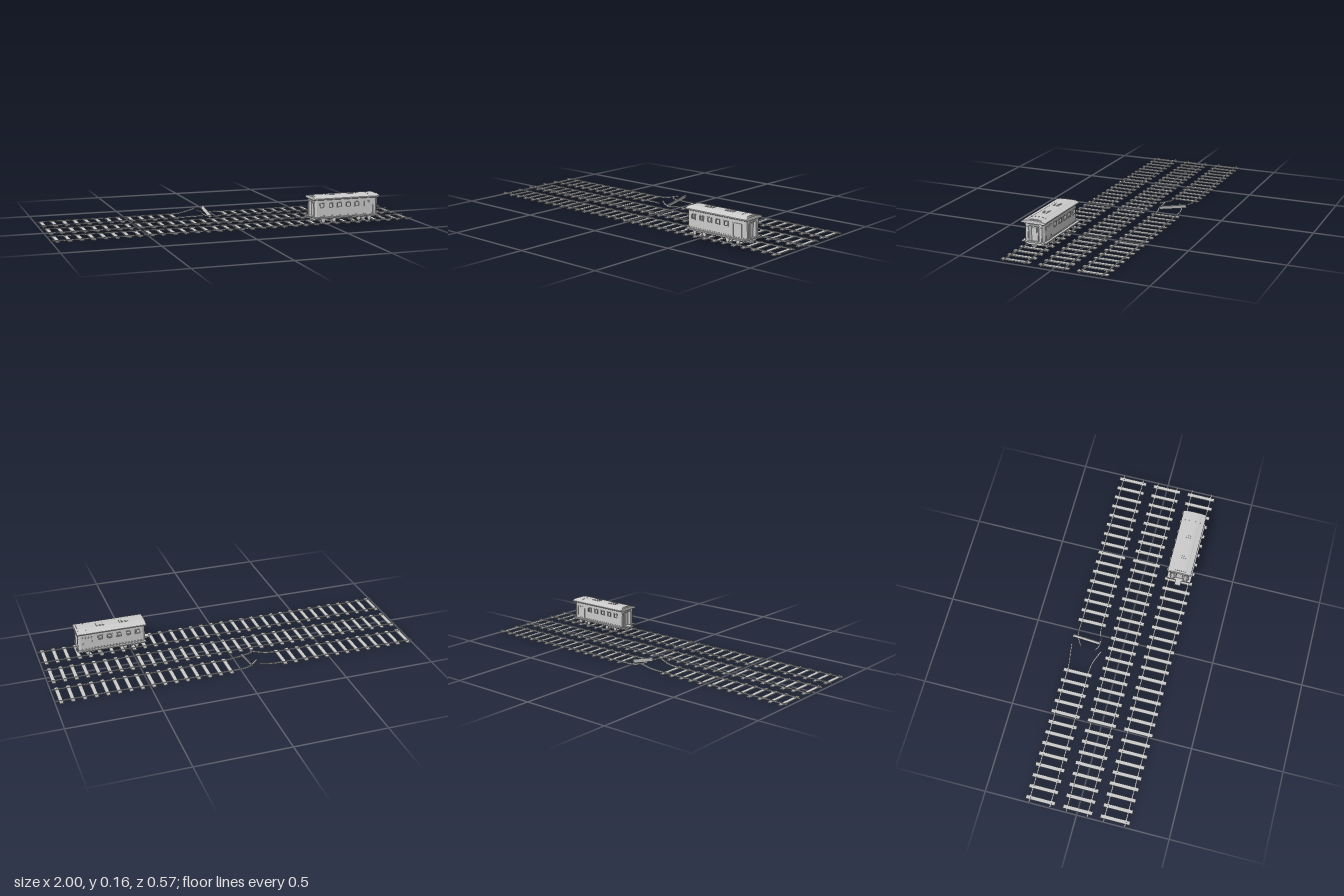
import * as THREE from 'three';

const mat = new THREE.MeshStandardMaterial({ color: 0xcccccc, flatShading: true, side: THREE.DoubleSide });

function add(parent, name, geometry, x = 0, y = 0, z = 0) {
  const mesh = new THREE.Mesh(geometry, mat);
  mesh.name = name;
  mesh.position.set(x, y, z);
  parent.add(mesh);
  return mesh;
}
const box = (w, h, d) => new THREE.BoxGeometry(w, h, d);
const polygon = (points) => new THREE.Shape(points.map(([a, b]) => new THREE.Vector2(a, b)));
const extrude = (shape, depth) => new THREE.ExtrudeGeometry(shape, { depth, bevelEnabled: false });

// symmetric [z, y] half profile, mirrored and drawn out along x
function alongX(half, length) {
  const other = half.map(([z, y]) => [-z, y]).reverse();
  return extrude(polygon([...half, ...other]), length).rotateY(Math.PI / 2).translate(-length / 2, 0, 0);
}

const GAUGE = 0.057, SLEEPERS = 33, STEP = 0.0607, TRACK_Z = 0.203;

function rail(parent, x0, x1, z) {
  add(parent, 'rail', box(x1 - x0, 0.005, 0.006), (x0 + x1) / 2, 0.0125, z);
  add(parent, 'railFoot', box(x1 - x0, 0.002, 0.008), (x0 + x1) / 2, 0.0105, z);
}

function makeTrack(name, z, broken) {
  const track = new THREE.Group();
  track.name = name;
  track.position.z = z;
  for (let i = 0; i < SLEEPERS; i++) {
    if (broken && i > 12 && i < 17) continue;
    add(track, 'sleeper', box(0.021, 0.0055, 0.16), -0.973 + i * STEP, 0.0085, 0);
  }
  for (const s of [-1, 1]) {
    if (broken) {
      rail(track, -1, -0.235, s * GAUGE);
      rail(track, 0.05, 1, s * GAUGE);
    } else rail(track, -1, 1, s * GAUGE);
  }
  return track;
}

// rail end bent away from its line
function bentRail(parent, points) {
  const path = new THREE.CatmullRomCurve3(points.map((p) => new THREE.Vector3(...p)));
  const a = 0.0034;
  const section = polygon([[-a, -a], [a, -a], [a, a], [-a, a]]);
  add(parent, 'bentRail', new THREE.ExtrudeGeometry(section, { steps: 14, extrudePath: path, bevelEnabled: false }));
}

function makeDamage() {
  const damage = new THREE.Group();
  damage.name = 'damagedSection';
  const near = -TRACK_Z + GAUGE, far = -TRACK_Z - GAUGE;
  bentRail(damage, [[-0.235, 0.0125, far], [-0.19, 0.015, far - 0.004], [-0.14, 0.024, far - 0.011], [-0.098, 0.035, far - 0.015]]);
  bentRail(damage, [[-0.235, 0.0125, near], [-0.18, 0.014, near + 0.006], [-0.14, 0.018, near + 0.019], [-0.098, 0.021, near + 0.038]]);
  bentRail(damage, [[0.05, 0.0125, far], [-0.01, 0.013, far], [-0.045, 0.016, far + 0.005], [-0.075, 0.022, far + 0.021], [-0.098, 0.031, far + 0.036]]);
  bentRail(damage, [[0.05, 0.0125, near], [0.01, 0.012, near + 0.005], [-0.03, 0.009, near + 0.018], [-0.07, 0.016, near + 0.017], [-0.1, 0.03, near + 0.005]]);
  // sleeper thrown up onto its edge
  const loose = add(damage, 'looseSleeper', box(0.02, 0.0055, 0.16), -0.05, 0.025, -TRACK_Z);
  loose.rotation.set(0.18, 0, 1.2);
  return damage;
}

// side wall with window openings
function sideWall(parent, s) {
  const wall = polygon([[-0.173, 0.043], [0.173, 0.043], [0.173, 0.14], [-0.173, 0.14]]);
  const side = new THREE.Group();
  side.name = s > 0 ? 'frontSide' : 'backSide';
  parent.add(side);
  const zOut = s * 0.0555;
  for (let i = 0; i < 5; i++) {
    const x = -0.145 + i * 0.052;
    const [w, y0, y1] = [0.0105, 0.097, 0.117];
    const rect = (e) => [[x - w - e, y0 - e], [x + w + e, y0 - e], [x + w + e, y1 + e], [x - w - e, y1 + e]];
    wall.holes.push(polygon(rect(0)));
    const frame = polygon(rect(0.004));
    frame.holes.push(polygon(rect(0)));
    add(side, 'windowFrame', extrude(frame, 0.005), 0, 0, zOut - 0.0025);
  }
  add(side, 'wall', extrude(wall, 0.005), 0, 0, s * 0.0515 - 0.0025);
  // sliding door with raised frame
  const door = polygon([[0.104, 0.045], [0.162, 0.045], [0.162, 0.12], [0.104, 0.12]]);
  door.holes.push(polygon([[0.109, 0.049], [0.157, 0.049], [0.157, 0.115], [0.109, 0.115]]));
  const depth = s > 0 ? 0.005 : 0.003;
  add(side, 'doorFrame', extrude(door, depth), 0, 0, s > 0 ? 0.053 : -0.056);
  add(side, 'doorPanel', box(0.046, 0.064, 0.003), 0.133, 0.082, s * 0.0535);
  add(side, 'baseMoulding', box(0.346, 0.004, 0.003), 0, 0.05, s * 0.0545);
}

// chamfered end with a door set in a splayed recess
function makeEnd(s) {
  const end = new THREE.Group();
  end.name = s > 0 ? 'leftEnd' : 'rightEnd';
  const half = [[0.163, 0.054], [0.173, 0.054], [0.185, 0.046], [0.185, 0.028], [0.172, 0.018], [0.172, 0.012]];
  const plan = [...half, ...half.map(([x, z]) => [x, -z]).reverse()].map(([x, z]) => [s * x, z]);
  add(end, 'endWall', extrude(polygon(plan), 0.097).rotateX(-Math.PI / 2), 0, 0.043, 0);
  add(end, 'endDoor', box(0.004, 0.074, 0.034), s * 0.174, 0.082, 0);
  add(end, 'doorInset', box(0.003, 0.062, 0.024), s * 0.176, 0.082, 0);
  add(end, 'lintel', box(0.016, 0.008, 0.062), s * 0.178, 0.129, 0);
  for (const z of [-1, 1]) add(end, 'endPanel', box(0.003, 0.07, 0.012), s * 0.1855, 0.085, z * 0.037);
  return end;
}

function makeBogie(x) {
  const bogie = new THREE.Group();
  bogie.name = 'bogie';
  bogie.position.x = x;
  for (const dx of [-0.032, 0.032]) {
    const axle = add(bogie, 'axle', new THREE.CylinderGeometry(0.003, 0.003, 0.11, 8), dx, 0.026, 0);
    axle.rotation.x = Math.PI / 2;
    for (const s of [-1, 1]) {
      const wheel = add(bogie, 'wheel', new THREE.CylinderGeometry(0.0115, 0.0115, 0.006, 16), dx, 0.0265, s * 0.052);
      wheel.rotation.x = Math.PI / 2;
    }
  }
  for (const s of [-1, 1]) add(bogie, 'bogieFrame', box(0.085, 0.006, 0.004), 0, 0.028, s * 0.046);
  add(bogie, 'bogieBeam', box(0.016, 0.012, 0.09), 0, 0.026, 0);
  return bogie;
}

function makeCarriage() {
  const car = new THREE.Group();
  car.name = 'carriage';
  car.position.set(0.603, 0, TRACK_Z);
  // chassis and floor
  add(car, 'floor', box(0.376, 0.007, 0.136), 0, 0.0415, 0);
  add(car, 'underframe', alongX([[0.034, 0.023], [0.052, 0.031], [0.056, 0.038]], 0.355));
  add(car, 'step', box(0.034, 0.008, 0.034), -0.202, 0.041, 0);
  for (const s of [-1, 1]) add(car, 'coupler', box(0.014, 0.008, 0.026), s * 0.181, 0.022, 0);
  for (const x of [-0.105, 0.105]) car.add(makeBogie(x));
  // body
  for (const s of [-1, 1]) {
    sideWall(car, s);
    car.add(makeEnd(s));
  }
  // roof with overhanging eaves and raised crown
  add(car, 'roof', alongX([[0.060, 0.138], [0.066, 0.141], [0.066, 0.147], [0.058, 0.150], [0.045, 0.1535], [0.025, 0.156]], 0.384));
  add(car, 'roofCrown', alongX([[0.044, 0.152], [0.036, 0.1565], [0.02, 0.159]], 0.36));
  add(car, 'roofSeam', alongX([[0.046, 0.153], [0.037, 0.1572], [0.02, 0.1597]], 0.004), 0.135);
  // roof hatches
  for (const x of [-0.078, 0.05]) {
    add(car, 'roofHatch', box(0.048, 0.005, 0.03), x, 0.1585, 0);
    add(car, 'hatchLid', box(0.024, 0.002, 0.024), x, 0.1612, 0);
  }
  return car;
}

export function createModel() {
  const model = new THREE.Group();
  model.name = 'railwayScene';
  model.add(makeTrack('frontTrack', TRACK_Z, false));
  model.add(makeTrack('middleTrack', 0, false));
  model.add(makeTrack('brokenTrack', -TRACK_Z, true));
  model.add(makeDamage());
  model.add(makeCarriage());
  return model;
}
